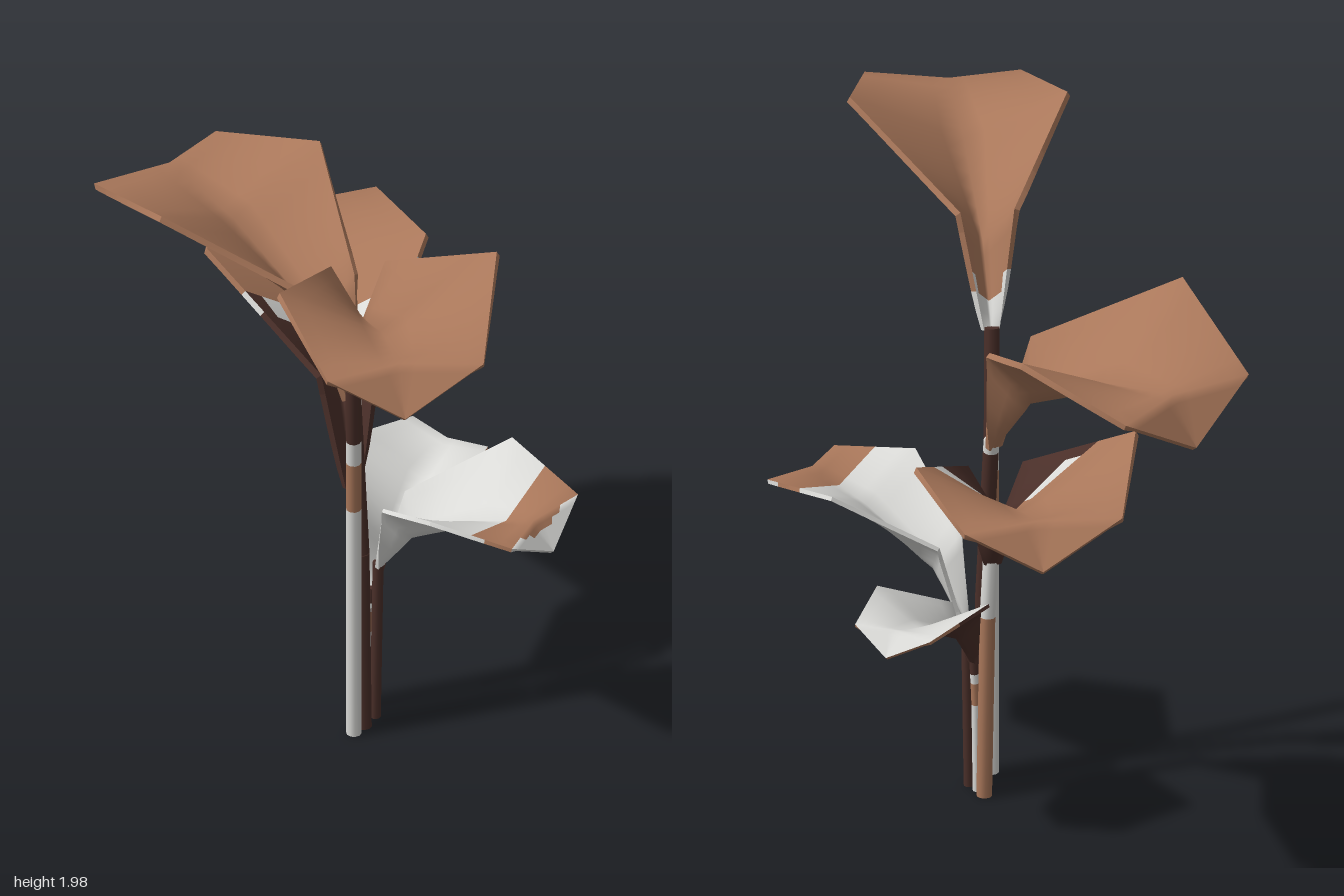
import * as THREE from 'three';

const BROWN = 0, DARK = 1, WHITE = 2;
const RADIUS = 0.023, THICKNESS = 0.018;

function makeMaterials() {
  return [['leafBrown', 0xa9775a], ['leafDark', 0x4a2f29], ['leafWhite', 0xdadad7]].map(([name, color]) => {
    const m = new THREE.MeshStandardMaterial({ color });
    m.name = name;
    return m;
  });
}

// One folded leaf shared by all stems, pointing along +z from its base at the origin.
// Each row is [edge, spine, edge]; the last row closes in the drooping tip.
const LEAF_ROWS = [
  [[-RADIUS, 0, 0], [0, 0, 0], [RADIUS, 0, 0]],
  [[-0.08, 0.35, 0.08], [0, 0.21, 0.16], [0.08, 0.35, 0.08]],
  [[-0.3, 0.53, 0.46], [0, 0.38, 0.5], [0.35, 0.58, 0.43]],
  [[-0.22, 0.44, 0.81], [0, 0.45, 0.77], [0.24, 0.46, 0.83]],
  [[0, 0.32, 0.87], [0, 0.32, 0.87], [0, 0.32, 0.87]],
];

// Leaf rows scaled, turned to their heading and moved to the stem top; lift raises the far end
function placeRows({ base, yaw, scale, lift }) {
  const up = new THREE.Vector3(0, 1, 0), origin = new THREE.Vector3(...base);
  return LEAF_ROWS.map((row) => row.map(([x, y, z]) =>
    new THREE.Vector3(x, y + lift * z * z, z).multiplyScalar(scale).applyAxisAngle(up, yaw).add(origin)));
}

// Subdivide the rows into a thin closed shell; paint(point, isTop) picks the colour of each cell
function leafBlade(rows, thickness, paint, mats) {
  const along = 6, half = 5, nj = half * 2, ni = (rows.length - 1) * along;
  const top = [], id = (i, j) => i * (nj + 1) + j;
  for (let i = 0; i <= ni; i++) {
    const r = Math.min(Math.floor(i / along), rows.length - 2), u = i / along - r;
    const line = rows[r].map((p, k) => p.clone().lerp(rows[r + 1][k], u));
    for (let j = 0; j <= nj; j++) {
      const h = j < half ? 0 : 1;
      top.push(line[h].clone().lerp(line[h + 1], j / half - h));
    }
  }
  const buckets = [[], [], []], cells = [];
  for (let i = 0; i < ni; i++) for (let j = 0; j < nj; j++) {
    cells.push([id(i, j), id(i + 1, j), id(i + 1, j + 1), id(i, j + 1)]);
  }
  // Upper surface normals give the direction of the thickness
  const upper = new THREE.BufferGeometry().setFromPoints(top);
  upper.setIndex(cells.flatMap(([a, b, c, d]) => [a, b, d, b, c, d]));
  upper.computeVertexNormals();
  const bottom = top.map((p, i) => new THREE.Vector3()
    .fromBufferAttribute(upper.attributes.normal, i).multiplyScalar(-thickness).add(p));
  const points = [...top, ...bottom], n = top.length;
  for (const [a, b, c, d] of cells) {
    const mid = top[a].clone().add(top[c]).multiplyScalar(0.5);
    buckets[paint(mid, true)].push(a, b, d, b, c, d);
    buckets[paint(mid, false)].push(n + a, n + d, n + b, n + b, n + d, n + c);
  }
  // Rim wall with its own corners so the edge stays sharp
  const loop = [];
  for (let i = 0; i < ni; i++) loop.push(id(i, 0));
  for (let j = 0; j < nj; j++) loop.push(id(ni, j));
  for (let i = ni; i > 0; i--) loop.push(id(i, nj));
  for (let j = nj; j > 0; j--) loop.push(id(0, j));
  loop.forEach((a, k) => {
    const b = loop[(k + 1) % loop.length], s = points.length;
    points.push(top[a], top[b], bottom[a], bottom[b]);
    buckets[paint(top[a], false)].push(s, s + 2, s + 1, s + 1, s + 2, s + 3);
  });
  const geo = new THREE.BufferGeometry().setFromPoints(points);
  geo.setIndex(buckets.flat());
  let start = 0;
  buckets.forEach((b, k) => {
    if (b.length) geo.addGroup(start, b.length, k);
    start += b.length;
  });
  geo.computeVertexNormals();
  const blade = new THREE.Mesh(geo, mats);
  blade.name = 'leafBlade';
  return blade;
}

// Stem of coloured bands that leans more towards the top; each band is [top height, colour]
function stem({ foot, base, bands, scale }, mats) {
  const group = new THREE.Group();
  group.name = 'stem';
  const at = (y) => {
    const t = (y / base[1]) ** 2.5;
    return new THREE.Vector3(foot[0] + (base[0] - foot[0]) * t, y, foot[1] + (base[2] - foot[1]) * t);
  };
  let a = at(0);
  for (const [height, colour] of bands) {
    const b = at(height), dir = b.clone().sub(a), r = RADIUS * scale;
    const band = new THREE.Mesh(new THREE.CylinderGeometry(r, r, dir.length(), 10), mats[colour]);
    band.position.copy(a).add(b).multiplyScalar(0.5);
    band.quaternion.setFromUnitVectors(new THREE.Vector3(0, 1, 0), dir.normalize());
    band.name = 'stemBand';
    group.add(band);
    a = b;
  }
  return group;
}

const PLANTS = [
  {
    name: 'tallFrontLeaf', foot: [0.015, 0.045], base: [0, 1.4, 0.12], yaw: 0, scale: 1, lift: 0,
    bands: [[0.8, WHITE], [0.97, BROWN], [1.05, WHITE], [1.41, DARK]],
    paint: (p) => (p.z < 0.16 && p.y < 1.57 ? WHITE : BROWN),
  },
  {
    name: 'backRightLeaf', foot: [0.05, 0.015], base: [0.03, 1.11, -0.05], yaw: -2.563, scale: 1.02, lift: -0.02,
    bands: [[0.6, DARK], [1.09, DARK], [1.13, WHITE]],
    paint: () => BROWN,
  },
  {
    name: 'backLeaf', foot: [0.06, -0.105], base: [0.04, 0.76, -0.1], yaw: -3.13, scale: 1.01, lift: 0.08,
    bands: [[0.58, BROWN], [0.77, WHITE]],
    paint: (p) => (p.z > -0.4 ? DARK : p.z > -0.45 ? WHITE : BROWN),
  },
  {
    name: 'frontLeftLeaf', foot: [0.092, -0.03], base: [0.1, 0.53, -0.03], yaw: 0.807, scale: 0.71, lift: 0.09,
    bands: [[0.54, DARK]],
    paint: (p, isTop) => (p.x + p.z > 0.72 && p.x + p.z < (isTop ? 0.88 : 0.84) ? BROWN : WHITE),
  },
  {
    name: 'lowBackLeftLeaf', foot: [0.075, -0.068], base: [0.085, 0.42, -0.067], yaw: 2.432, scale: 0.57, lift: 0.08,
    bands: [[0.28, WHITE], [0.35, BROWN], [0.38, WHITE], [0.43, DARK]],
    paint: (p, isTop) => (isTop ? WHITE : p.x - p.z > 0.68 ? BROWN : DARK),
  },
];

export function createModel() {
  const model = new THREE.Group();
  model.name = 'plant';
  const mats = makeMaterials();
  for (const plant of PLANTS) {
    const group = new THREE.Group();
    group.name = plant.name;
    group.add(leafBlade(placeRows(plant), THICKNESS * plant.scale, plant.paint, mats), stem(plant, mats));
    model.add(group);
  }
  return model;
}
